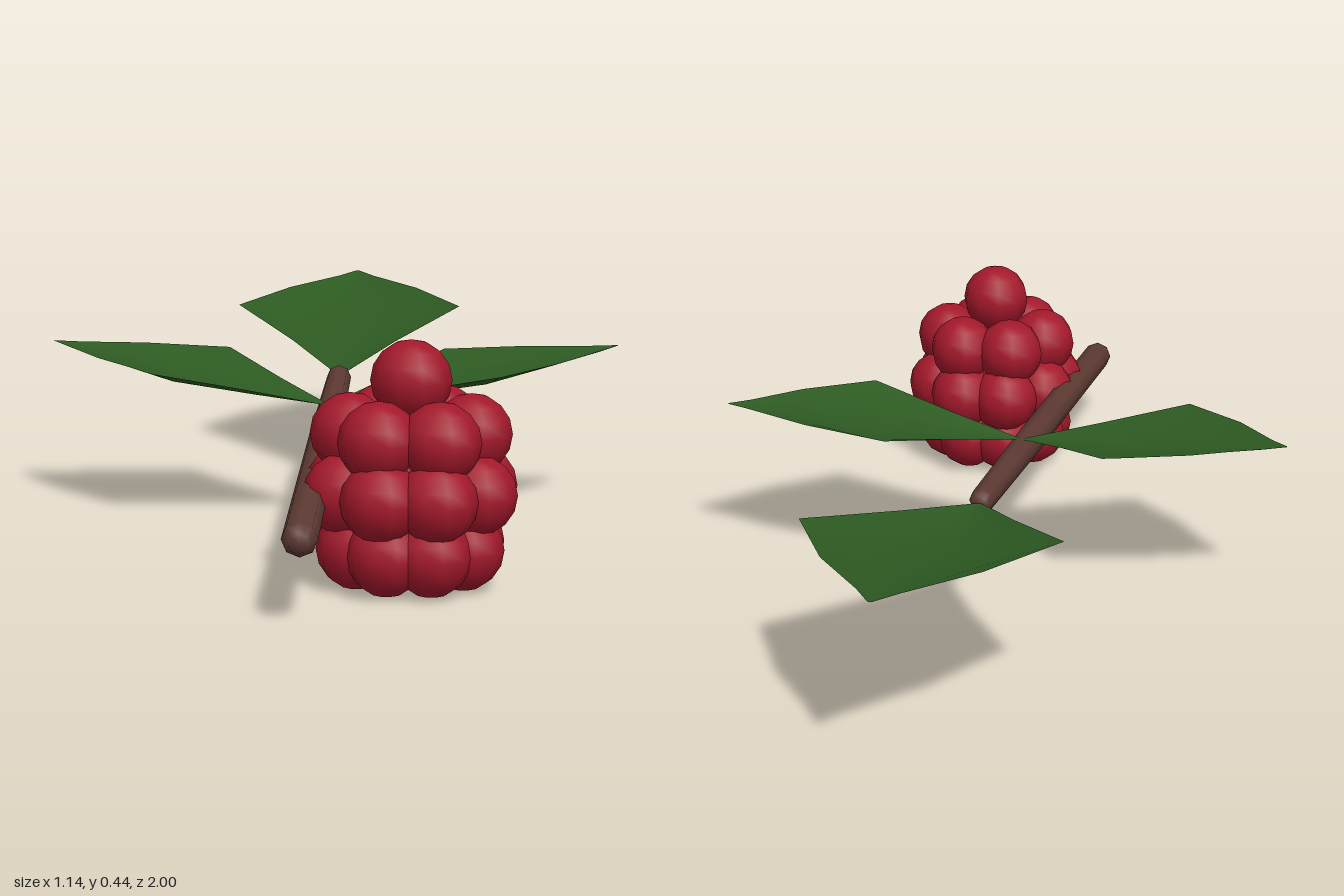
import * as THREE from 'three';

const berryMat = new THREE.MeshStandardMaterial({ color: 0xa3182b });
const leafMat = new THREE.MeshStandardMaterial({ color: 0x2d5a22, side: THREE.DoubleSide });
const stemMat = new THREE.MeshStandardMaterial({ color: 0x5e3a33 });

function add(parent, name, geometry, material, x = 0, y = 0, z = 0) {
  const mesh = new THREE.Mesh(geometry, material);
  mesh.name = name;
  mesh.position.set(x, y, z);
  parent.add(mesh);
  return mesh;
}

// Leaf blade growing along -z from its base, creased upwards at both edges
function leafGeometry() {
  // distance along blade, half width, midrib height, edge height
  const rows = [
    [0, 0.004, 0, 0], [0.18, 0.11, 0.018, 0.045], [0.38, 0.245, 0.045, 0.095],
    [0.58, 0.145, 0.085, 0.11], [0.72, 0.04, 0.11, 0.12], [0.78, 0.003, 0.125, 0.125],
  ];
  const cols = 4, pos = [], index = [];
  rows.forEach(([d, w, mid, edge], r) => {
    for (let c = 0; c <= cols; c++) {
      const s = (c / cols) * 2 - 1;
      pos.push(s * w, mid + (edge - mid) * s * s, -d);
      if (r && c) {
        const b = r * (cols + 1) + c, a = b - cols - 1;
        index.push(a - 1, a, b, a - 1, b, b - 1);
      }
    }
  });
  const g = new THREE.BufferGeometry();
  g.setAttribute('position', new THREE.Float32BufferAttribute(pos, 3));
  g.setIndex(index);
  g.computeVertexNormals();
  return g;
}

export function createModel() {
  const model = new THREE.Group();
  model.name = 'berrySprig';

  // Tapered stem with a blunt rounded tip at each end
  const length = 1.22;
  const profile = [[0, 0], [0.018, 0], [0.031, 0.025], [0.03, 0.72], [0.025, length - 0.02], [0.016, length], [0, length]]
    .map(([r, y]) => new THREE.Vector2(r, y));
  const stem = add(model, 'stem', new THREE.LatheGeometry(profile, 8), stemMat, 0, 0.145, 0.995);
  stem.quaternion.setFromUnitVectors(new THREE.Vector3(0, 1, 0), new THREE.Vector3(0, 0.085, -1.217).normalize());

  // One end leaf and a mirrored pair of smaller side leaves
  const blade = leafGeometry();
  add(model, 'endLeaf', blade, leafMat, 0, 0.23, -0.22);
  for (const side of [1, -1]) {
    const leaf = add(model, side > 0 ? 'leftLeaf' : 'rightLeaf', blade, leafMat, 0, 0.23, 0.15);
    leaf.scale.setScalar(0.765);
    leaf.rotation.y = -side * 1.26;
  }

  // Berry: rings of small globes around a core, with one on top
  const berry = new THREE.Group();
  berry.name = 'berry';
  berry.position.set(0.175, 0, 0.67);
  model.add(berry);
  const globe = new THREE.SphereGeometry(0.072, 10, 8);
  const rings = [
    // height, radius, count, starting angle
    [0.073, 0.101, 8, Math.PI / 8],
    [0.172, 0.125, 8, Math.PI / 8],
    [0.272, 0.106, 6, 0],
  ];
  for (const [y, radius, count, start] of rings) {
    for (let i = 0; i < count; i++) {
      const a = start + (i / count) * Math.PI * 2;
      add(berry, 'drupelet', globe, berryMat, Math.cos(a) * radius, y, Math.sin(a) * radius);
    }
  }
  add(berry, 'topDrupelet', globe, berryMat, 0, 0.366, 0);
  const core = add(berry, 'berryCore', new THREE.SphereGeometry(0.12, 12, 8), berryMat, 0, 0.17, 0);
  core.scale.y = 1.2;

  return model;
}
